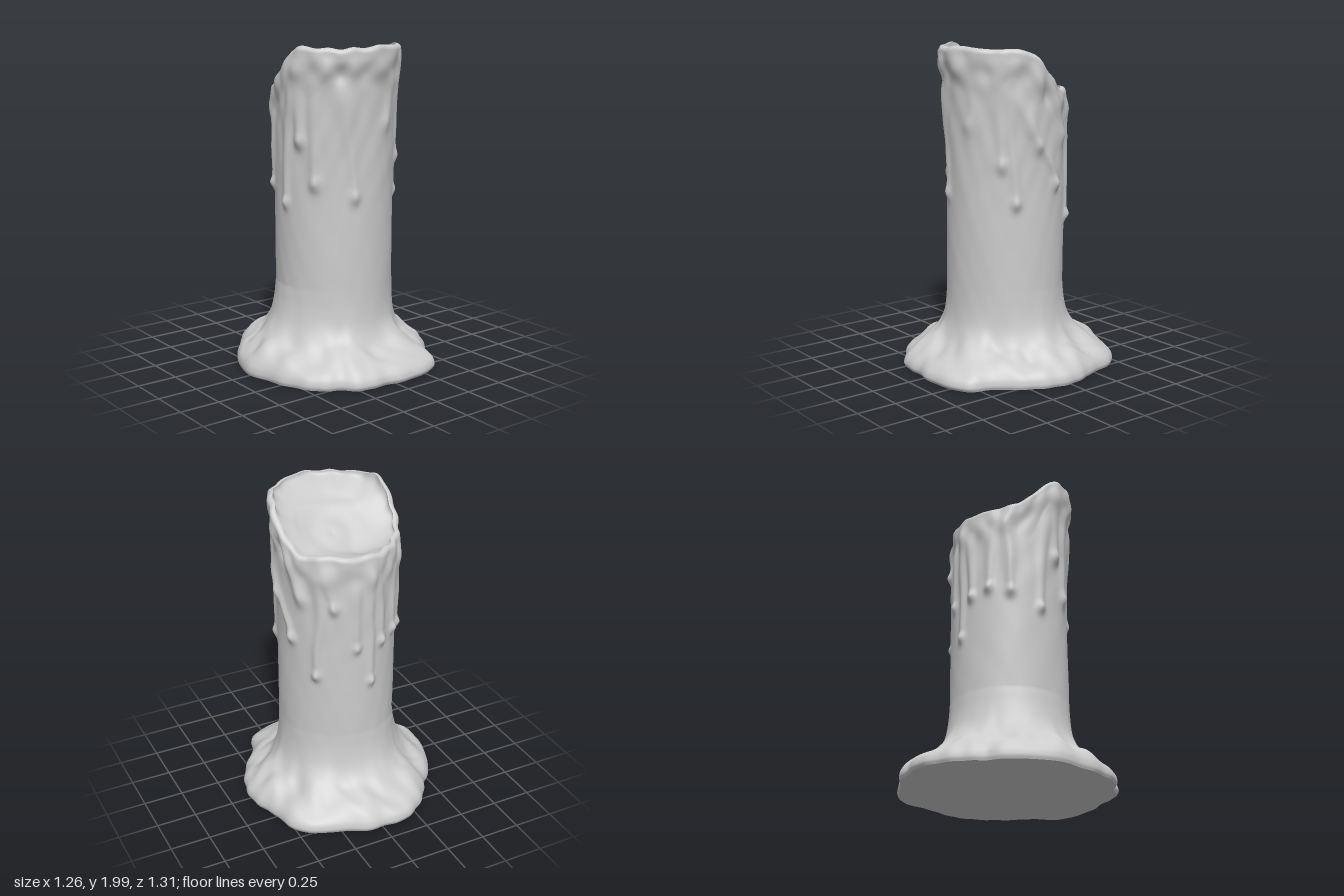
import * as THREE from 'three';

const COLS = 240;
const SHAFT_Z = 0.02;
const { sin, cos, exp, PI } = Math;
const { lerp, smoothstep } = THREE.MathUtils;
const rad = THREE.MathUtils.degToRad;
const bump = (d, w) => exp(-(d * d) / (w * w));
const turn = 2 * PI;

// Uneven outline of the wax puddle, as x, z pairs
const OUTLINE = [
  [0.63, -0.02], [0.61, 0.12], [0.5, 0.33], [0.4, 0.45], [0.385, 0.575], [0.28, 0.62], [0.1, 0.655],
  [-0.08, 0.63], [-0.25, 0.625], [-0.35, 0.52], [-0.43, 0.5], [-0.55, 0.3], [-0.6, 0.1],
  [-0.635, -0.03], [-0.58, -0.17], [-0.57, -0.23], [-0.44, -0.38], [-0.35, -0.52], [-0.22, -0.62],
  [-0.12, -0.66], [-0.03, -0.635], [0.06, -0.655], [0.18, -0.6], [0.33, -0.54], [0.45, -0.5],
  [0.53, -0.38], [0.55, -0.25], [0.6, -0.13],
];
const polar = OUTLINE.map(([x, z]) => [Math.atan2(z, x), Math.hypot(x, z)]).sort((p, q) => p[0] - q[0]);

// Radius of the outline at an angle
function outlineRadius(angle) {
  const a = Math.atan2(sin(angle), cos(angle));
  const k = Math.max(0, polar.findIndex((p) => p[0] > a));
  const p = polar[(k + polar.length - 1) % polar.length], q = polar[k];
  const t = ((a - p[0] + turn) % turn) / ((q[0] - p[0] + turn) % turn);
  return lerp(p[1], q[1], t);
}

// Averaged over a short arc so that its corners are soft
const puddleRadius = (a) =>
  [-0.05, -0.025, 0, 0.025, 0.05].reduce((sum, d) => sum + outlineRadius(a + d) / 5, 0)
  + 0.004 * sin(23 * a + 2 * sin(3 * a));

// Drips: angle in degrees, top, bottom, half width, thickness, sideways lean at the top
const DRIPS = [
  [27, 1.8, 1.04, 0.03, 0.026, 0.05], [40, 1.85, 1.27, 0.035, 0.026, 0.02], [-18, 1.6, 1.14, 0.03, 0.028, 0.2],
  [-45, 1.6, 0.92, 0.026, 0.028, -0.03], [-84, 1.62, 1.1, 0.025, 0.022, 0.02], [-99, 1.62, 0.86, 0.025, 0.024, 0],
  [-112, 1.64, 1.11, 0.027, 0.028, 0.01], [-131, 1.64, 1.14, 0.027, 0.028, -0.02], [-152, 1.66, 1.11, 0.027, 0.028, 0.02],
  [178, 1.75, 1.02, 0.027, 0.025, -0.03], [160, 1.85, 1.4, 0.035, 0.027, 0.03], [145, 1.9, 1.15, 0.034, 0.026, 0],
  [107, 1.75, 1.07, 0.032, 0.022, 0.06], [72, 1.85, 1.5, 0.04, 0.014, -0.08], [5, 1.75, 1.38, 0.034, 0.024, 0.12],
  [-62, 1.66, 1.38, 0.03, 0.026, 0.05], [-30, 1.66, 1.42, 0.04, 0.024, 0.06],
];

function dripRelief(a, y) {
  let flow = 0;
  for (const [deg, top, bottom, w, thick, lean] of DRIPS) {
    const up = smoothstep(y, bottom, top);
    const arc = Math.atan2(sin(a - rad(deg)), cos(a - rad(deg))) * 0.37;
    const d = arc - lean * up - 0.012 * up * sin(y * 9 + deg);
    if (Math.abs(d) > 0.15) continue;
    // A run that widens upward and ends in a round bead
    const run = smoothstep(y, bottom, bottom + 0.12) * (1 - smoothstep(y, top - 0.1, top + 0.12));
    const bead = bump(Math.hypot(d, (y - bottom - 0.03) * 0.75), w * 1.05);
    const h = thick * (0.62 * run * bump(d, w * (0.9 + 0.7 * up)) + 1.05 * bead);
    flow = Math.hypot(flow, h);
  }
  return flow;
}

// Gentle patchy irregularity of the wax, stronger towards the top
const ripple = (a, y) =>
  0.003 * sin(3 * a + 1) * sin(4 * y) +
  lerp(0.0015, 0.005, smoothstep(y, 0.9, 1.6)) * (
    0.7 * sin(7 * a + sin(2 * y)) * sin(9 * y + sin(2 * a)) +
    0.5 * sin(15 * a + sin(5 * y)) * sin(19 * y + 2 * sin(3 * a)));

// Rim is high at the front and burnt low at the back
function rimHeight(a) {
  const z = SHAFT_Z + 0.38 * sin(a);
  return lerp(1.725, 1.985, smoothstep(z, -0.22, 0.18))
    + 0.006 * sin(5 * a + 1 + sin(2 * a)) + 0.005 * sin(11 * a + 2 * sin(3 * a));
}

function shaftRadius(a, y) {
  const below = rimHeight(a) - y;
  const front = smoothstep(sin(a), -0.9, 0.1);
  // Overhanging wax under the lip with uneven lower edge and knobs
  const hang = 0.24 + 0.07 * sin(6 * a + 2 * sin(2 * a));
  const collar = lerp(0.008, 0.026, front) * (1 - smoothstep(below, 0.07, hang));
  const knobs = 0.015 * sin(11 * a + 2 * sin(3 * a)) * bump(below - 0.14, 0.06)
    + 0.005 * sin(17 * a + 3 * sin(2 * a)) * bump(below - 0.04, 0.05);
  return 0.362 + 0.006 * front * smoothstep(y, 1, 1.7) + collar + knobs + ripple(a, y) + dripRelief(a, y);
}

// Closed rings joined into a surface; pointAt(angle, v) gives each vertex
function ringSurface(name, rows, pointAt, material) {
  const pos = [], index = [];
  for (let j = 0; j <= rows; j++) {
    for (let i = 0; i < COLS; i++) pos.push(...pointAt((i / COLS) * turn, j / rows));
  }
  for (let j = 0; j < rows; j++) {
    for (let i = 0; i < COLS; i++) {
      const p = j * COLS + i, q = j * COLS + ((i + 1) % COLS);
      index.push(p, p + COLS, q, q, p + COLS, q + COLS);
    }
  }
  const geometry = new THREE.BufferGeometry();
  geometry.setAttribute('position', new THREE.Float32BufferAttribute(pos, 3));
  geometry.setIndex(index);
  geometry.computeVertexNormals();
  const mesh = new THREE.Mesh(geometry, material);
  mesh.name = name;
  return mesh;
}

// Puddle cross-section: share of the way out from the shaft, height
const FLARE = new THREE.CatmullRomCurve3([
  [0.97, 0], [1, 0.022], [0.985, 0.05], [0.92, 0.082], [0.78, 0.118], [0.5, 0.168],
  [0.26, 0.225], [0.1, 0.31], [0.03, 0.41], [0, 0.52],
].map(([t, y]) => new THREE.Vector3(t, y, 0)));

function puddlePoint(a, v) {
  const f = FLARE.getPoint(v);
  // Front hugs the shaft, the -x side spreads higher up it
  const t = Math.pow(Math.max(0, f.x), 1 + 0.3 * Math.max(0, sin(a)) - 0.25 * Math.max(0, -cos(a)));
  const inner = shaftRadius(a, f.y), outer = puddleRadius(a);
  // Folds running down the flare
  const fold = sin(PI * Math.min(1, f.x)) * (0.014 * sin(6 * a + 4 * f.x)
    + 0.012 * sin(11 * a + 1 - 3 * f.x + 2 * sin(2 * a)) + 0.005 * sin(19 * a + 9 * f.x));
  return [
    lerp(inner, outer, t) * cos(a),
    Math.max(0, f.y + fold * smoothstep(v, 0.1, 0.4)),
    lerp(SHAFT_Z + inner * sin(a), outer * sin(a), t),
  ];
}

function shaftPoint(a, v) {
  const top = rimHeight(a);
  // Last part of v rolls over the rounded lip
  const lip = Math.max(0, (v - 0.92) / 0.08) * PI * 0.6;
  const y = lip > 0 ? top - 0.03 + 0.03 * sin(lip) : lerp(0.52, top - 0.03, v / 0.92);
  const r = shaftRadius(a, Math.min(y, top - 0.03)) - 0.026 * (1 - cos(lip));
  const z = SHAFT_Z + 0.012 * smoothstep(y, 1.3, 1.9);
  return [r * cos(a), y, z + r * sin(a)];
}

// Burnt hollow: a tilted, softly dished floor that sweeps up into the lip
function hollowPoint(a, v) {
  const s = 1 - v;
  const [ex, ey, ez] = shaftPoint(a, 1);
  const edge = smoothstep(s, 0.7, 1);
  const x = lerp(0.35 * s * cos(a), ex, edge);
  const z = lerp(SHAFT_Z + 0.35 * s * sin(a), ez, edge);
  const floor = 1.675 + 0.24 * smoothstep(z, -0.2, 0.4)
    - 0.03 * bump(Math.hypot(x + 0.08, z + 0.14), 0.09)
    + 0.012 * bump(z - 0.14 - 0.03 * sin(7 * x + 1), 0.035) * smoothstep(0.3 - Math.abs(x), 0, 0.15)
    + 0.006 * sin(40 * Math.hypot(x - 0.03, z) + 2 * x) * bump(s, 0.75)
    + 0.003 * sin(18 * x + 2) * sin(21 * z + 5 * x);
  return [x, lerp(floor, ey, Math.pow(s, 4)), z];
}

export function createModel() {
  const wax = new THREE.MeshStandardMaterial({ color: 0xcccccc, roughness: 0.8 });
  const candle = new THREE.Group();
  candle.name = 'meltedCandle';

  // Puddle and shaft share one skin so the join stays smooth
  const split = 0.25;
  candle.add(ringSurface('waxBody', 190, (a, v) =>
    v < split ? puddlePoint(a, v / split) : shaftPoint(a, (v - split) / (1 - split)), wax));
  candle.add(ringSurface('burntHollow', 50, hollowPoint, wax));

  // Flat underside
  candle.add(ringSurface('underside', 1, (a, v) => {
    const [x, , z] = puddlePoint(a, 0);
    return [x * v, 0, z * v];
  }, wax));
  return candle;
}
